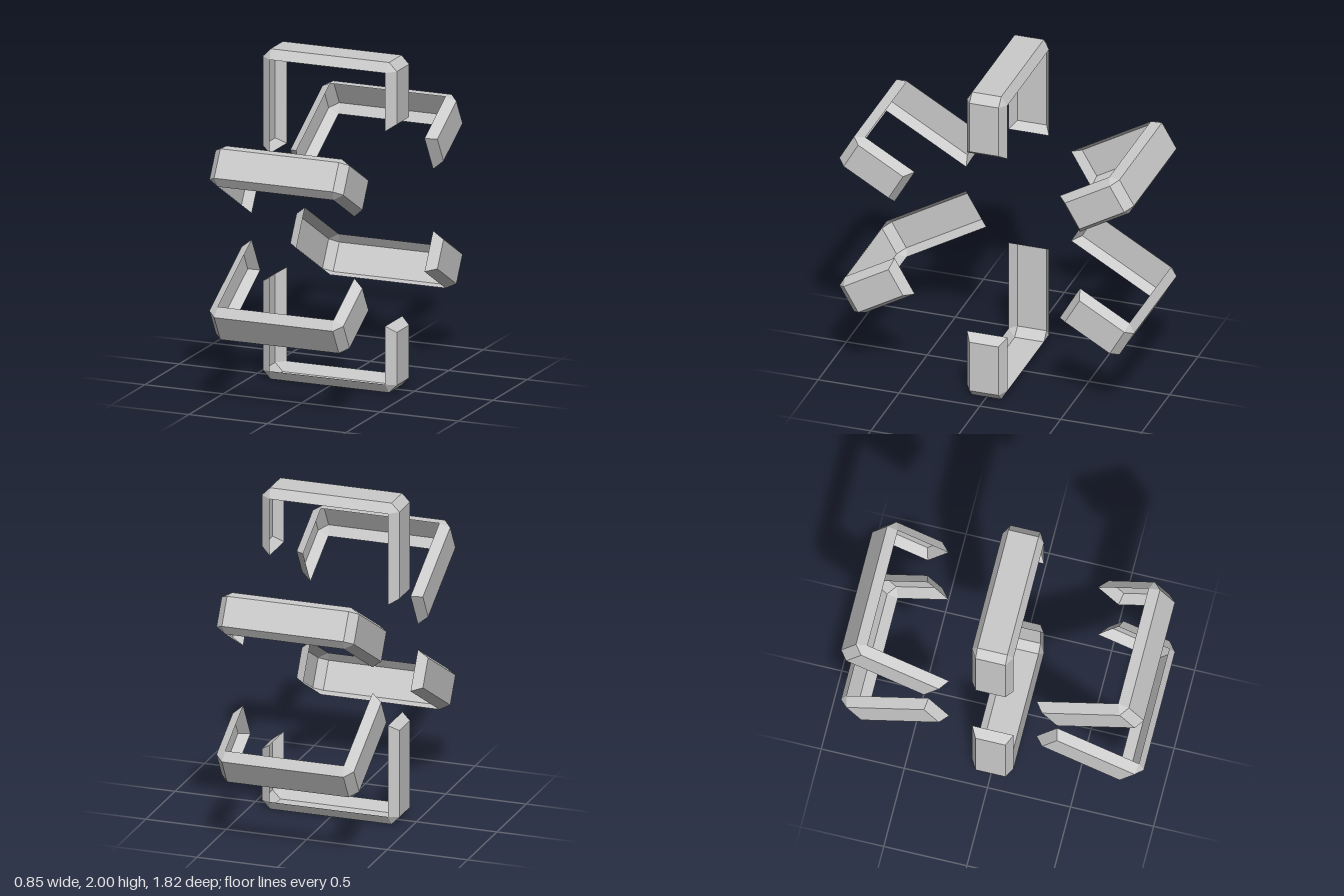
import * as THREE from 'three';

const COUNT = 6;       // brackets around the ring
const OUTER_W = 0.09;  // half width of the outer face
const RIM_W = 0.125;   // half width of the open inner rim

// Stations along a bracket, [x, radius]: long leg, chamfered bar, short leg
const OUTER = [[-0.427, 0.41], [-0.427, 0.95], [-0.378, 1], [0.378, 1], [0.427, 0.95], [0.427, 0.63]];
const RIM = [[-0.368, 0.375], [-0.368, 0.943], [-0.368, 0.943], [0.368, 0.943], [0.368, 0.943], [0.368, 0.59]];

// Hollow U-shaped channel: outer face, sloping side walls and sloping leg ends
function bracketGeometry() {
  const positions = [];
  const rows = OUTER.map(([ox, oy], i) => {
    const [rx, ry] = RIM[i];
    return [
      new THREE.Vector3(rx, ry, -RIM_W),
      new THREE.Vector3(ox, oy, -OUTER_W),
      new THREE.Vector3(ox, oy, OUTER_W),
      new THREE.Vector3(rx, ry, RIM_W),
    ];
  });
  const triangle = (a, b, c) => {
    if (a.equals(b) || b.equals(c) || c.equals(a)) return;
    for (const p of [a, b, c]) positions.push(p.x, p.y, p.z);
  };
  const quad = (a, b, c, d) => {
    triangle(a, b, c);
    triangle(a, c, d);
  };

  for (let i = 0; i < rows.length - 1; i++) {
    for (let j = 0; j < 3; j++) {
      quad(rows[i][j], rows[i][j + 1], rows[i + 1][j + 1], rows[i + 1][j]);
    }
  }
  // Leg ends
  const [first, last] = [rows[0], rows[rows.length - 1]];
  quad(first[3], first[2], first[1], first[0]);
  quad(last[0], last[1], last[2], last[3]);

  const geometry = new THREE.BufferGeometry();
  geometry.setAttribute('position', new THREE.Float32BufferAttribute(positions, 3));
  geometry.computeVertexNormals();
  return geometry;
}

export function createModel() {
  const model = new THREE.Group();
  model.name = 'bracketRing';
  const material = new THREE.MeshStandardMaterial({
    color: 0xcccccc, flatShading: true, side: THREE.DoubleSide,
  });
  const geometry = bracketGeometry();

  // Brackets spread evenly about the x axis
  for (let k = 0; k < COUNT; k++) {
    const bracket = new THREE.Mesh(geometry, material);
    bracket.name = `bracket${k + 1}`;
    bracket.position.y = 1;
    bracket.rotation.x = (k / COUNT) * Math.PI * 2;
    model.add(bracket);
  }
  return model;
}
